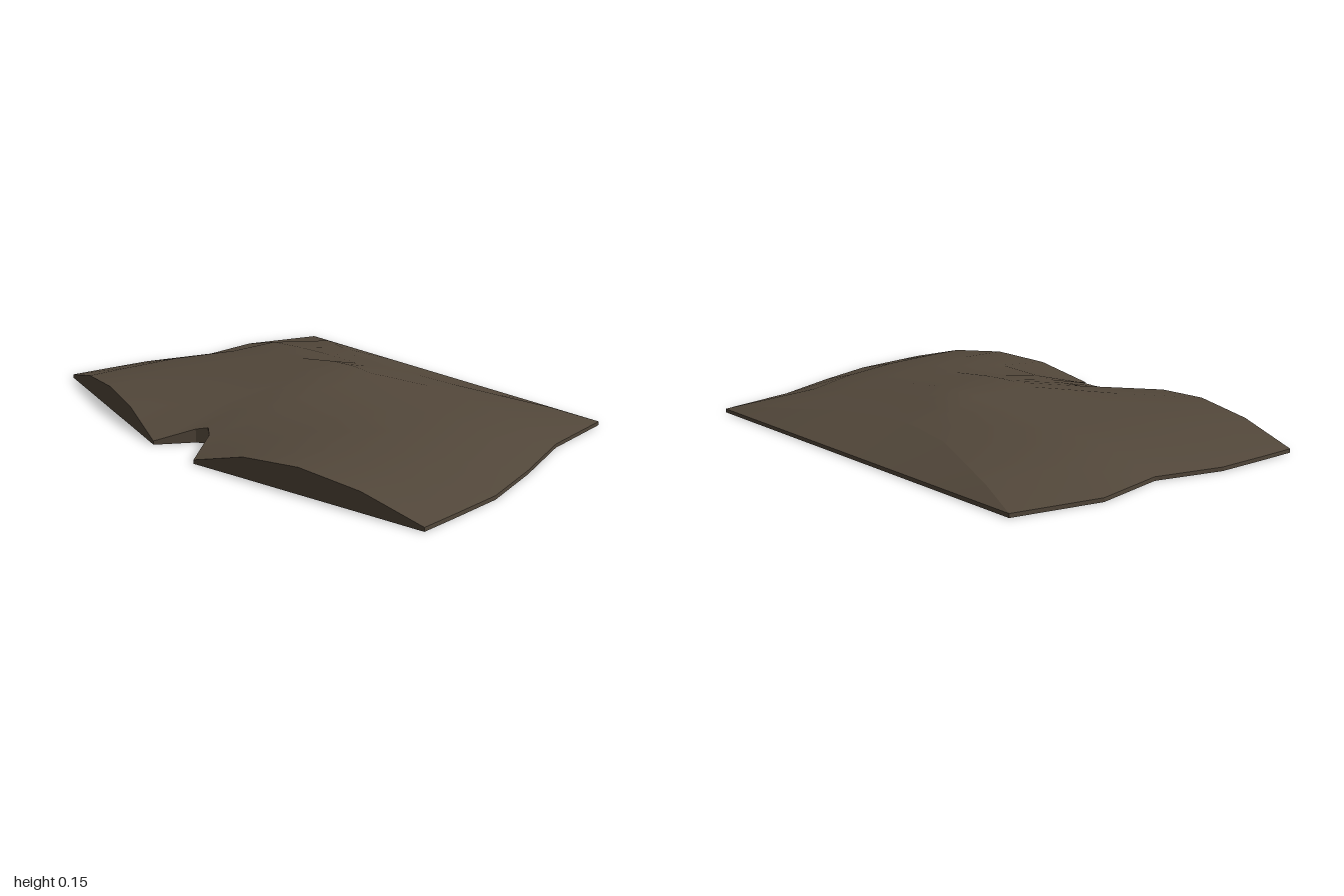
import * as THREE from 'three';

// Column positions from side seam (1) to centre (0); mirrored to both sides
const COLS = [1, 0.78, 0.55, 0.33, 0.12, 0.04, 0];
const BASE = 0.014;

// Cross-sections from waist to leg hems: half widths, then z and y for each column
const ROWS = [
  { l: 0.79, r: 0.79, z: [-0.67, -0.6, -0.53, -0.465, -0.437, -0.431, -0.43],
    y: [BASE, 0.042, 0.058, 0.073, 0.079, 0.08, 0.08] },
  { l: 0.89, r: 0.83, z: [-0.365, -0.35, -0.33, -0.31, -0.3, -0.3, -0.3],
    y: [BASE, 0.065, 0.088, 0.104, 0.11, 0.112, 0.112] },
  { l: 0.87, r: 0.92, z: [-0.1, -0.12, -0.14, -0.16, -0.17, -0.17, -0.17],
    y: [BASE, 0.072, 0.098, 0.118, 0.144, 0.148, 0.149] },
  { l: 0.96, r: 0.985, z: [0.14, 0.13, 0.12, 0.11, 0.1, 0.1, 0.1],
    y: [BASE, 0.072, 0.1, 0.113, 0.136, 0.139, 0.14] },
  { l: 0.985, r: 0.995, z: [0.34, 0.36, 0.37, 0.375, 0.37, 0.365, 0.36],
    y: [BASE, 0.072, 0.1, 0.1, 0.093, 0.091, 0.09] },
  { l: 1, r: 1, z: [0.475, 0.522, 0.572, 0.619, 0.665, 0.54, 0.515],
    y: [BASE, 0.07, 0.092, 0.074, BASE, 0.05, 0.06] },
];

// Mirrors one half section into a full row of points, running from -x to +x
function fullRow({ l, r, z, y }) {
  const right = COLS.map((c, i) => new THREE.Vector3(c * r, y[i], z[i]));
  const left = COLS.slice(0, -1).map((c, i) => new THREE.Vector3(-c * l, y[i], z[i]));
  return [...left, ...right.reverse()];
}

// Joins rows of points into a surface
function loft(rows, smooth) {
  const n = rows[0].length, index = [];
  for (let i = 0; i < rows.length - 1; i++) {
    for (let j = 0; j < n - 1; j++) {
      const a = i * n + j, b = a + n;
      index.push(a, b, a + 1, a + 1, b, b + 1);
    }
  }
  let geo = new THREE.BufferGeometry().setFromPoints(rows.flat());
  geo.setIndex(index);
  if (!smooth) geo = geo.toNonIndexed();
  geo.computeVertexNormals();
  return geo;
}

export function createModel() {
  const group = new THREE.Group();
  const cloth = new THREE.MeshStandardMaterial({ color: 0x52473a, side: THREE.DoubleSide });
  cloth.name = 'brownCloth';
  const add = (name, geo) => {
    const mesh = new THREE.Mesh(geo, cloth);
    mesh.name = name;
    group.add(mesh);
  };

  const rows = ROWS.map(fullRow);
  const waist = rows[0], hem = rows[rows.length - 1];

  // Puffed upper panel of the shorts
  add('frontPanel', loft(rows, true));

  // Flat lower panel with a thin rim following the whole outline
  const outline = [
    ...hem,
    ...rows.slice(0, -1).reverse().map((row) => row[row.length - 1]),
    ...rows.slice(0, -1).map((row) => row[0]),
  ].map((p) => new THREE.Vector2(p.x, -p.z));
  const slab = new THREE.ExtrudeGeometry(new THREE.Shape(outline), { depth: BASE, bevelEnabled: false });
  slab.rotateX(-Math.PI / 2);
  add('backPanel', slab);

  // Sloping fill of the waist opening
  const waistLine = waist.map((p) => new THREE.Vector3(p.x, BASE, -0.67));
  add('waistOpening', loft([waistLine, waist], true));

  // Upright fill of the leg openings and the notch between them
  const hemLine = hem.map((p) => new THREE.Vector3(p.x, BASE, p.z));
  add('legOpenings', loft([hem, hemLine], false));

  return group;
}
